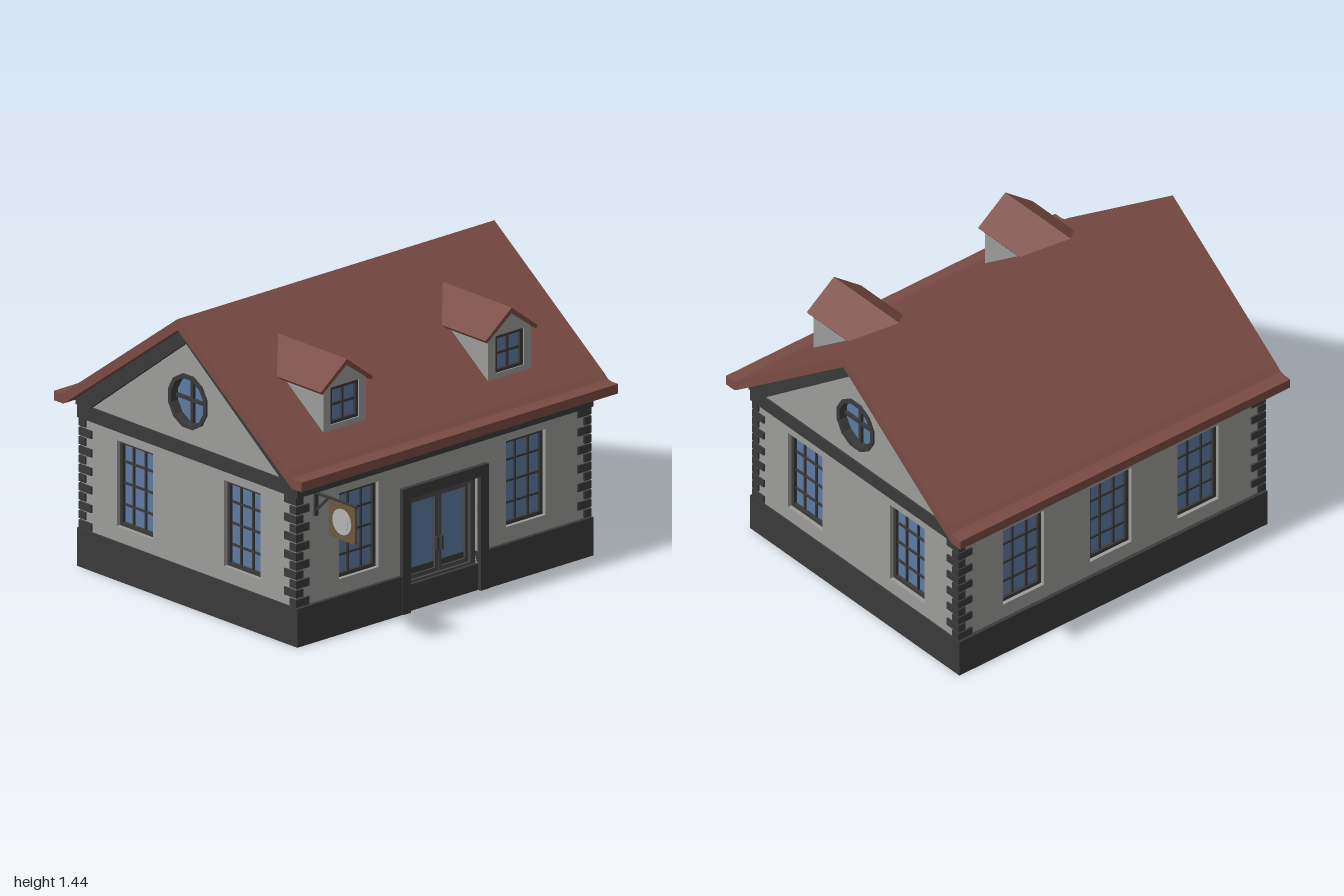
import * as THREE from 'three';

const mat = (color, extra = {}) => new THREE.MeshStandardMaterial({ color, ...extra });
const M = {
  wall: mat(0x9c9d9b), dark: mat(0x3a3a3a), door: mat(0x484848), roof: mat(0x7a4b44),
  glass: mat(0x5d7ba3), wood: mat(0x6b573f), plate: mat(0xb4b4b4),
};

function add(parent, name, geo, material, x = 0, y = 0, z = 0) {
  const m = new THREE.Mesh(geo, material);
  m.name = name;
  m.position.set(x, y, z);
  parent.add(m);
  return m;
}
const box = (parent, name, material, w, h, d, x, y, z) =>
  add(parent, name, new THREE.BoxGeometry(w, h, d), material, x, y, z);
const poly = (pts) => new THREE.Shape(pts.map(([x, y]) => new THREE.Vector2(x, y)));
const rect = (x0, y0, x1, y1) => poly([[x0, y0], [x1, y0], [x1, y1], [x0, y1]]);
const extrude = (shape, depth) => new THREE.ExtrudeGeometry(shape, { depth, bevelEnabled: false });
const mirrored = (half) => [...half, ...half.slice().reverse().filter(([x]) => x !== 0).map(([x, y]) => [-x, y])];
const ring = (r, cx, cy, n = 12) => poly(Array.from({ length: n }, (_, i) => {
  const a = ((i + 0.5) / n) * Math.PI * 2;
  return [cx + r * Math.cos(a), cy + r * Math.sin(a)];
}));

function group(parent, name, x = 0, y = 0, z = 0, ry = 0) {
  const g = new THREE.Group();
  g.name = name;
  g.position.set(x, y, z);
  g.rotation.y = ry;
  parent.add(g);
  return g;
}

// Framed, barred pane centred on its own origin
function windowUnit(parent, name, material, x, y, z, w, h, cols, rows, f = 0.018, bar = 0.01) {
  const g = group(parent, name, x, y, z);
  const frame = rect(-w / 2, -h / 2, w / 2, h / 2);
  frame.holes.push(rect(-w / 2 + f, -h / 2 + f, w / 2 - f, h / 2 - f));
  add(g, 'frame', extrude(frame, 0.03), material, 0, 0, -0.015);
  box(g, 'glass', M.glass, w - f, h - f, 0.008, 0, 0, -0.006);
  for (let i = 1; i < cols; i++) box(g, 'uprightBar', material, bar, h - f, 0.016, -w / 2 + (w * i) / cols, 0, 0);
  for (let i = 1; i < rows; i++) box(g, 'crossBar', material, w - f, bar, 0.014, 0, -h / 2 + (h * i) / rows, 0);
  return g;
}

const T = 0.06, HX = 0.925, HZ = 0.74;            // wall thickness and half sizes
const WIN = { w: 0.25, h: 0.425, y: 0.478 };

// Wall panel whose outer face lies on local z = 0, with tall windows at the given offsets
function wallPanel(parent, name, pts, windowXs, extraHoles, x, z, ry) {
  const g = group(parent, name, x, 0, z, ry);
  const s = poly(pts);
  for (const wx of windowXs) {
    s.holes.push(rect(wx - WIN.w / 2, WIN.y - WIN.h / 2, wx + WIN.w / 2, WIN.y + WIN.h / 2));
    windowUnit(g, 'tallWindow', M.dark, wx, WIN.y, -0.035, WIN.w, WIN.h, 3, 4);
  }
  s.holes.push(...extraHoles);
  add(g, 'wall', extrude(s, T), M.wall, 0, 0, -T);
  return g;
}

// Plinth slice with a notch for the doorway
function plinth(parent, y0, y1, notch) {
  const x = 0.935, z = 0.76, n = 0.22;
  const geo = extrude(poly([[-x, -z], [-n, -z], [-n, -z + notch], [n, -z + notch], [n, -z], [x, -z], [x, z], [-x, z]]), y1 - y0);
  add(parent, 'plinth', geo.rotateX(-Math.PI / 2), M.dark, 0, y0, 0);
}

function dormer(parent, x) {
  const g = group(parent, 'dormer', x, 0, 0.645);
  const outline = [[-0.135, 0.9], [0.135, 0.9], [0.135, 1.185], [0, 1.285], [-0.135, 1.185]];
  const front = poly(outline);
  front.holes.push(rect(-0.09, 0.995, 0.09, 1.18));
  add(g, 'dormerFront', extrude(front, 0.04), M.wall, 0, 0, -0.04);
  add(g, 'dormerBody', extrude(poly(outline), 0.42), M.wall, 0, 0, -0.46);
  windowUnit(g, 'dormerWindow', M.dark, 0, 1.0875, -0.022, 0.18, 0.185, 2, 2, 0.016, 0.012);
  const roof = poly([[-0.165, 1.178], [-0.155, 1.165], [0, 1.278], [0.155, 1.165], [0.165, 1.178], [0, 1.305]]);
  add(g, 'dormerRoof', extrude(roof, 0.5), M.roof, 0, 0, -0.485);
}

function hangingSign(parent, x) {
  const g = group(parent, 'hangingSign', x, 0, 0.0875);
  box(g, 'signArm', M.dark, 0.012, 0.012, 0.3, 0, 0.733, 0.79);
  box(g, 'wallMount', M.dark, 0.022, 0.12, 0.012, 0, 0.68, 0.658);
  box(g, 'signBrace', M.dark, 0.01, 0.01, 0.128, 0, 0.686, 0.7).rotation.x = -Math.PI / 4;
  box(g, 'signBoard', M.wood, 0.014, 0.175, 0.178, 0, 0.64, 0.847);
  for (const y of [0.557, 0.723]) box(g, 'signTrim', M.wood, 0.02, 0.014, 0.178, 0, y, 0.847);
  const disc = (name, r, w) =>
    add(g, name, new THREE.CylinderGeometry(r, r, w, 24).rotateZ(Math.PI / 2), M.plate, 0, 0.64, 0.847);
  disc('plate', 0.064, 0.02);
  disc('plateCentre', 0.045, 0.025);
}

export function createModel() {
  const model = new THREE.Group();
  model.name = 'house';
  const body = group(model, 'building', -0.005, 0, -0.0875);

  // Plinth and the band under the eaves
  plinth(body, 0, 0.13, 0.015);
  plinth(body, 0.13, 0.19, 0.06);
  box(body, 'eavesBand', M.dark, 1.87, 0.07, 1.52, 0, 0.773, 0);

  // Front and back walls
  const long = [[-HX, 0.1], [HX, 0.1], [HX, 0.76], [-HX, 0.76]];
  wallPanel(body, 'frontWall', long, [-0.53, 0.525], [rect(-0.22, 0.13, 0.22, 0.565)], 0, HZ, 0);
  wallPanel(body, 'backWall', long, [-0.53, 0, 0.53], [], 0, -HZ, Math.PI);

  // Gable walls with round windows and raking boards
  const u = HZ - T;
  for (const s of [-1, 1]) {
    const pts = [[-u, 0.1], [u, 0.1], [u, 0.85], [0, 1.35], [-u, 0.85]];
    const g = wallPanel(body, 'gableWall', pts, [-0.37, 0.37], [ring(0.13, 0, 1.015)], s * HX, 0, (s * Math.PI) / 2);
    const frame = ring(0.136, 0, 1.015);
    frame.holes.push(ring(0.115, 0, 1.015));
    add(g, 'roundFrame', extrude(frame, 0.055), M.dark, 0, 0, -0.045);
    add(g, 'roundGlass', extrude(ring(0.125, 0, 1.015), 0.01), M.glass, 0, 0, -0.045);
    box(g, 'roundBar', M.dark, 0.24, 0.016, 0.02, 0, 1.015, -0.03);
    box(g, 'roundBar', M.dark, 0.016, 0.24, 0.02, 0, 1.015, -0.03);
    const board = poly([[-0.76, 0.805], [-0.76, 0.835], [0, 1.39], [0.76, 0.835], [0.76, 0.805],
      [0.665, 0.805], [0, 1.308], [-0.665, 0.805]]);
    add(g, 'rakingBoard', extrude(board, 0.05), M.dark, 0, 0, -0.03);
  }

  // Corner stones, alternating long and short
  const courses = 12, step = 0.55 / courses;
  for (const sx of [-1, 1]) for (const sz of [-1, 1]) for (let i = 0; i < courses; i++) {
    const longX = (i % 2 === 0) === (sx * sz > 0);
    const w = longX ? 0.085 : 0.045, d = longX ? 0.045 : 0.085;
    box(body, 'cornerStone', M.dark, w, step * 0.84, d,
      sx * (HX + 0.008 - w / 2), 0.74 - step * (i + 0.5), sz * (HZ + 0.01 - d / 2));
  }

  // Door surround and double door
  const portal = poly([[-0.27, 0], [-0.22, 0], [-0.22, 0.565], [0.22, 0.565], [0.22, 0], [0.27, 0], [0.27, 0.62], [-0.27, 0.62]]);
  add(body, 'doorSurround', extrude(portal, 0.085), M.dark, 0, 0, 0.679);
  const frame = rect(-0.22, 0.13, 0.22, 0.565);
  frame.holes.push(rect(-0.19, 0.14, 0.19, 0.535));
  add(body, 'doorFrame', extrude(frame, 0.04), M.door, 0, 0, 0.685);
  for (const s of [-1, 1]) {
    windowUnit(body, 'doorLeaf', M.door, s * 0.095, 0.3375, 0.695, 0.188, 0.395, 1, 1, 0.02);
    box(body, 'doorHandle', M.dark, 0.01, 0.07, 0.02, s * 0.014, 0.28, 0.715);
  }

  // Main roof with flared eaves
  const roof = poly(mirrored([[0.853, 0.81], [0.853, 0.857], [0.81, 0.857], [0.785, 0.863], [0.755, 0.888], [0, 1.44]])
    .concat([[-0.79, 0.81], [-0.765, 0.826], [0, 1.385], [0.765, 0.826], [0.79, 0.81]]));
  add(body, 'roof', extrude(roof, 2).rotateY(Math.PI / 2), M.roof, -0.995, 0, 0);

  dormer(body, -0.53);
  dormer(body, 0.51);
  hangingSign(body, -0.805);
  return model;
}
